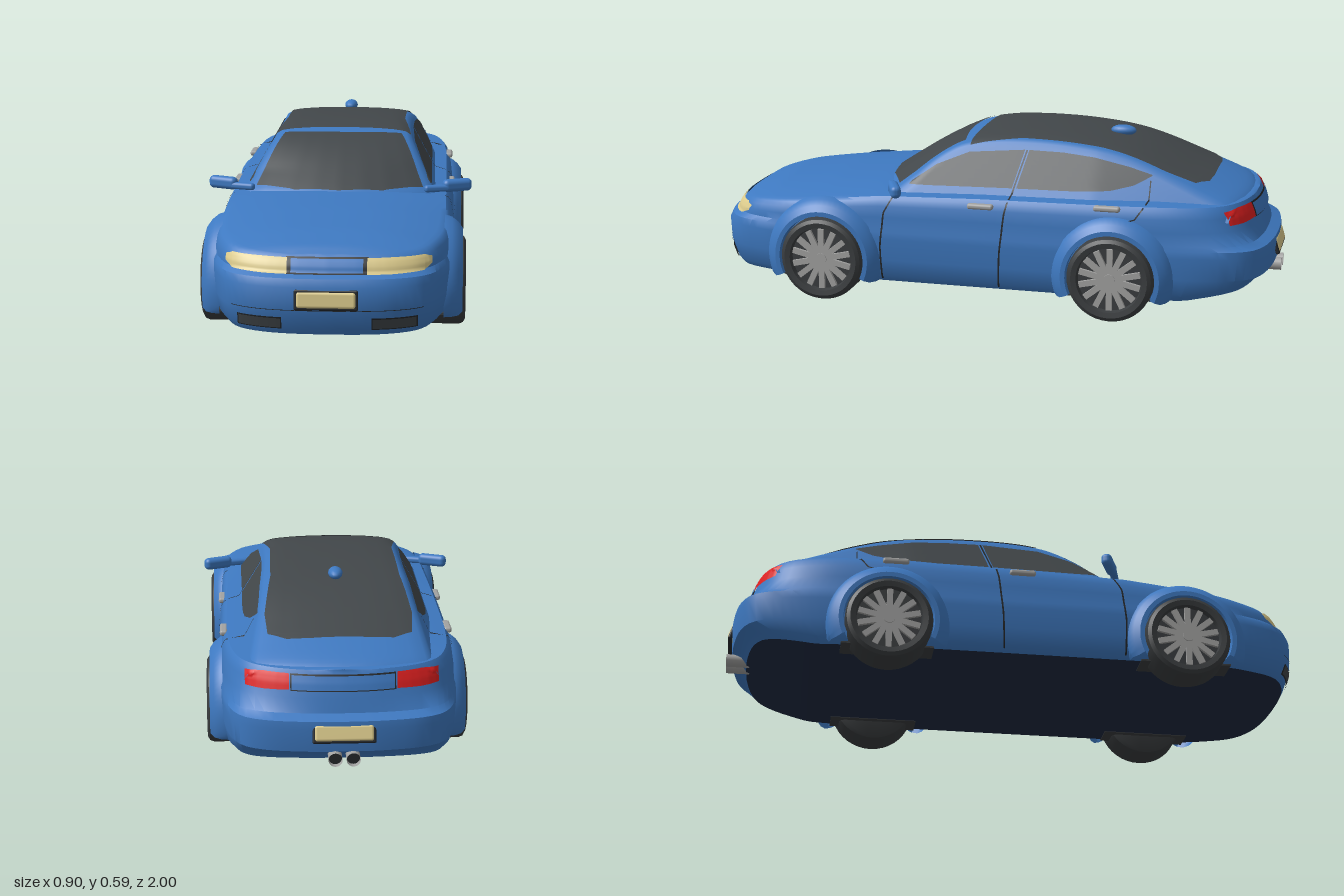
import * as THREE from 'three';
import { toCreasedNormals } from 'three/addons/utils/BufferGeometryUtils.js';
import { RoundedBoxGeometry } from 'three/addons/geometries/RoundedBoxGeometry.js';

const mat = (name, color) =>
  Object.assign(new THREE.MeshStandardMaterial({ color, side: THREE.DoubleSide }), { name });

const lerp = THREE.MathUtils.lerp;
const clamp = THREE.MathUtils.clamp;

// linear interpolation in a table of [z, value], z falling
function key(table, z) {
  if (z >= table[0][0]) return table[0][1];
  for (let i = 1; i < table.length; i++) {
    const [z0, v0] = table[i - 1], [z1, v1] = table[i];
    if (z >= z1) return lerp(v0, v1, (z - z0) / (z1 - z0));
  }
  return table[table.length - 1][1];
}

// surface through a grid of points f(i, j)
function grid(nu, nv, f) {
  const pos = [], idx = [];
  for (let j = 0; j <= nv; j++) for (let i = 0; i <= nu; i++) pos.push(...f(i, j));
  for (let j = 0; j < nv; j++) for (let i = 0; i < nu; i++) {
    const a = j * (nu + 1) + i, c = a + nu + 1;
    idx.push(a, a + 1, c, a + 1, c + 1, c);
  }
  const g = new THREE.BufferGeometry();
  g.setAttribute('position', new THREE.Float32BufferAttribute(pos, 3));
  g.setIndex(idx);
  return g;
}

// floor (first band) or body: plan outline stacked through levels, then closed over hood and deck
function bodyGeometry(floor) {
  const plan = new THREE.SplineCurve([[0, .97], [.12, .965], [.22, .945], [.30, .90], [.345, .82], [.382, .66],
    [.387, .3], [.387, -.3], [.382, -.55], [.365, -.75], [.325, -.88], [.25, -.935], [.12, -.96], [0, -.965]]
    .map(p => new THREE.Vector2(...p)));
  const N = 80, half = plan.getSpacedPoints(N);
  const belt = [[.915, .312], [.8, .325], [.6, .345], [.35, .372], [0, .383], [-.6, .39], [-.92, .392]];
  const crest = [[.915, .312], [.88, .335], [.78, .363], [.57, .387], [.38, .4], [0, .405], [-.6, .41], [-.92, .395]];
  // y, width scale, front z, rear z
  const levels = [[.069, 0, .955, .93], [.069, .93, .955, .93], [.09, .975, .965, .95], [.15, 1, .985, .98],
    [.225, 1.01, .988, .988], [.25, 1.01, .975, .985], [.265, 1, .945, .95]];
  const upper = [[.35, 1, .94, .94], [.7, .985, .93, .928], [.9, .965, .92, .918], [1, .94, .915, .912]];
  const deck = [.95, .88, .78, .65, .5, .33, .16, 0];
  const first = floor ? 0 : 1;
  const rows = floor ? 2 : levels.length + upper.length + deck.length - 1;
  return toCreasedNormals(grid(2 * N, rows - 1, (i, row) => {
    let j = row + first;
    const p = half[i <= N ? i : 2 * N - i];
    const x = i <= N ? p.x : -p.x;
    const shift = L => p.y > 0 ? p.y * L[2] / .97 : p.y * L[3] / .965;
    if (j < levels.length) {
      const L = levels[j], z = shift(L);
      return [x * L[1], L[0] + (j < 3 ? Math.max(0, -z - .7) * .18 : 0), z];
    }
    j -= levels.length;
    const U = upper[Math.min(j, upper.length - 1)];
    const z = shift(U) + .35 * x * x * clamp((-p.y - .6) / .3, 0, 1), b = key(belt, z);
    if (j < upper.length) return [x * U[1], lerp(.265, b, U[0]), z];
    const s = deck[j - upper.length];
    return [x * U[1] * s, b + (key(crest, z) - b) * (1 - s ** 2.5), z];
  }), .55);
}

// cabin: sections with leaning sides under the roof line, bowed at both screens
function cabinGeometry() {
  const roof = new THREE.SplineCurve([[.40, .38], [.38, .4], [.25, .483], [.15, .535], [.07, .56], [-.08, .576],
    [-.29, .571], [-.5, .541], [-.72, .468], [-.87, .41], [-.91, .38]].map(p => new THREE.Vector2(...p)));
  const S = roof.getSpacedPoints(70);
  const crown = [[1, 0], [.965, .014], [.9, .023], [.75, .029], [.5, .033], [.25, .0345], [0, .035]];
  return toCreasedNormals(grid(70, 20, (i, j) => {
    const z = S[i].x, h = S[i].y, he = h - .035;
    const k = j <= 10 ? j : 20 - j;
    const taper = 1 - .12 * clamp((-z - .4) / .5, 0, 1);
    const xs = y => (.322 - (y - .39) * .57) * taper;
    let x, y;
    if (k < 4) { y = lerp(.34, he, k / 4); x = xs(y); }
    else { const [a, b] = crown[k - 4]; x = xs(he) * a; y = he + b; }
    const bow = .8 * clamp(z / .3, 0, 1) - .7 * clamp((-z - .3) / .5, 0, 1);
    return [j <= 10 ? x : -x, y, z - bow * x * x];
  }), .7);
}

export function createModel() {
  const blue = mat('blue paint', 0x3e79c1), glass = mat('dark glass', 0x42474a), rubber = mat('tyre rubber', 0x3a3d3f),
    trim = mat('black trim', 0x25282b), lamp = mat('pale yellow', 0xdccb8c), red = mat('red lamp', 0xe02020),
    silver = mat('silver', 0xa2a2a1), under = mat('dark underside', 0x1f2b42);
  const car = new THREE.Group();
  car.name = 'car';
  const add = (name, geo, m, parent = car) => {
    const mesh = new THREE.Mesh(geo, m);
    mesh.name = name;
    parent.add(mesh);
    return mesh;
  };
  const shell = [add('body', bodyGeometry(false), blue), add('cabin', cabinGeometry(), blue)];
  add('floor', bodyGeometry(true), under);

  // thin skins laid on the shell along one direction
  const ray = new THREE.Raycaster();
  const aims = {
    front: (a, b) => [[a, b, 2], [0, 0, -1]], back: (a, b) => [[a, b, -2], [0, 0, 1]], top: (a, b) => [[a, 2, b], [0, -1, 0]],
    left: (a, b) => [[2, b, a], [-1, 0, 0]], right: (a, b) => [[-2, b, a], [1, 0, 0]],
  };
  let last = new THREE.Vector3();
  const project = (aim, a, b, lift) => {
    const [o, d] = aims[aim](a, b).map(v => new THREE.Vector3(...v));
    ray.set(o, d);
    const hit = ray.intersectObjects(shell, false)[0];
    if (hit) last = hit.point.clone().addScaledVector(d, -lift);
    return last;
  };
  const along = (pts, u) => {
    const t = u * (pts.length - 1), i = Math.min(Math.floor(t), pts.length - 2);
    return [0, 1].map(c => lerp(pts[i][c], pts[i + 1][c], t - i));
  };
  const panel = (name, aim, low, high, m, lift = .005, nu = 24, nv = 8) => {
    const g = grid(nu, nv, (i, j) => {
      const p = along(low, i / nu), q = along(high, i / nu);
      return project(aim, lerp(p[0], q[0], j / nv), lerp(p[1], q[1], j / nv), lift).toArray();
    });
    g.computeVertexNormals();
    return add(name, g, m);
  };
  const rect = (name, aim, x0, x1, y0, y1, m, lift) => panel(name, aim, [[x0, y0], [x1, y0]], [[x0, y1], [x1, y1]], m, lift);
  const seam = (name, aim, pts, dx, dy) =>
    panel(name, aim, pts.map(p => [p[0] - dx, p[1] - dy]), pts.map(p => [p[0] + dx, p[1] + dy]), trim, .004, 28, 1);

  // windscreen and the long roof glass
  panel('windscreen', 'top', [[-.285, .302], [-.15, .362], [0, .38], [.15, .362], [.285, .302]],
    [[-.205, .085], [-.1, .1], [0, .105], [.1, .1], [.205, .085]], glass, .004, 32, 16);
  panel('roofGlass', 'top', [[-.238, .06], [-.212, -.12], [-.215, -.4], [-.238, -.62], [-.23, -.72], [-.17, -.76], [-.1, -.768]],
    [[.238, .06], [.212, -.12], [.215, -.4], [.238, -.62], [.23, -.72], [.17, -.76], [.1, -.768]], glass, .004, 48, 24);

  // both sides: windows, seams, handles, mirrors
  for (const [side, s] of [['left', 1], ['right', -1]]) {
    panel('frontWindow', side, [[.262, .408], [.19, .408], [.05, .411], [-.105, .414]],
      [[.25, .42], [.17, .475], [.06, .519], [-.135, .535]], glass, .003);
    panel('rearWindow', side, [[-.12, .414], [-.3, .416], [-.44, .423], [-.52, .443], [-.578, .474]],
      [[-.15, .535], [-.27, .533], [-.38, .523], [-.5, .499], [-.578, .478]], glass, .003);
    seam('frontDoorSeam', side, [[.34, .08], [.343, .2], [.33, .32], [.3, .375]], .003, 0);
    seam('middleDoorSeam', side, [[-.075, .08], [-.08, .2], [-.095, .34], [-.113, .42], [-.143, .535]], .003, 0);
    seam('rearDoorSeam', side, [[-.575, .46], [-.575, .40], [-.54, .35], [-.48, .33], [-.4, .32]], .002, .0015);
    for (const [z, y] of [[-.012, .362], [-.445, .38]]) {
      const h = add('doorHandle', new RoundedBoxGeometry(.026, .019, .09, 2, .008), silver);
      h.position.copy(project(side, z, y, .004));
    }
    const mirror = new THREE.Group();
    mirror.name = 'mirror';
    const head = add('mirrorHead', new RoundedBoxGeometry(.105, .043, .036, 4, .016), blue, mirror);
    head.position.set(.4, .408, .285);
    head.rotation.y = .42;
    const arm = add('mirrorArm', new RoundedBoxGeometry(.09, .024, .026, 2, .01), blue, mirror);
    arm.position.set(.332, .402, .316);
    arm.rotation.y = .3;
    if (s < 0) mirror.scale.x = -1;
    car.add(mirror);

    // headlamp, fog opening and tail lamp
    const flip = pts => pts.map(([a, b]) => [a * s, b]);
    panel('headlampEdge', 'front', [[.115 * s, .26], [.128 * s, .26]], [[.115 * s, .308], [.128 * s, .308]], trim, .004, 4);
    panel('headlamp', 'front', flip([[.124, .261], [.2, .261], [.3, .263], [.324, .278]]),
      flip([[.124, .306], [.2, .307], [.3, .307], [.324, .297]]), lamp, .008);
    rect('fogOpening', 'front', .139 * s, .281 * s, .088, .128, trim, .005);
    rect('fogGrille', 'front', .143 * s, .277 * s, .092, .124, glass, .007);
    panel('tailLamp', 'back', flip([[.168, .334], [.25, .33], [.304, .33]]),
      flip([[.168, .382], [.25, .382], [.304, .374]]), red, .007);
  }

  // nose and tail panels, bumper line, number plates
  rect('grilleFrame', 'front', -.115, .115, .26, .308, trim, .004);
  rect('grille', 'front', -.112, .112, .264, .304, blue, .008);
  rect('tailPanelFrame', 'back', -.164, .164, .33, .381, trim, .004);
  rect('tailPanel', 'back', -.16, .16, .334, .377, blue, .007);
  seam('bumperSeam', 'front', [[-.3, .153], [0, .153], [.3, .153]], 0, .001);
  for (const [y, z, tilt] of [[.187, .985, -.12], [.213, -.983, .3]]) {
    const plate = new THREE.Group();
    plate.name = 'numberPlate';
    plate.position.set(0, y, z);
    plate.rotation.x = tilt;
    add('plateFrame', new RoundedBoxGeometry(.198, .065, .014, 2, .006), trim, plate);
    add('plate', new RoundedBoxGeometry(.186, .053, .022, 3, .01), lamp, plate);
    car.add(plate);
  }

  // twin exhaust
  for (const x of [-.028, .028]) {
    const pipe = add('exhaustPipe', new THREE.CylinderGeometry(.022, .022, .14, 20, 1, true).rotateX(Math.PI / 2), silver);
    pipe.position.set(x, .13, -.93);
    add('exhaustBore', new THREE.CircleGeometry(.021, 20), trim).position.set(x, .13, -.98);
  }

  // roof aerial
  const fin = add('aerial', new THREE.SphereGeometry(1, 16, 12), blue);
  fin.scale.set(.024, .019, .045);
  fin.position.set(0, .568, -.432);

  // wheels and flared arches
  const V = pts => pts.map(p => new THREE.Vector2(...p));
  const flare = new THREE.LatheGeometry(V([[.212, .36], [.205, .385], [.188, .406], [.168, .42], [.152, .42], [.149, .37]]),
    40, Math.PI - .42, Math.PI + .84).rotateZ(-Math.PI / 2);
  const fp = flare.attributes.position;
  for (let i = 0; i < fp.count; i++) fp.setY(i, Math.max(fp.getY(i), -.077));
  const archGeo = toCreasedNormals(flare, .5);
  const tyreGeo = toCreasedNormals(new THREE.LatheGeometry(V([[0, -.06], [.13, -.065], [.142, -.058], [.147, -.045],
    [.147, .045], [.142, .058], [.13, .065], [.112, .062], [.108, .04]]), 40).rotateZ(-Math.PI / 2), .6);
  for (const z of [.55, -.465]) for (const s of [1, -1]) {
    const wheel = new THREE.Group();
    wheel.name = 'wheel';
    wheel.position.set(0, .147, z);
    if (s < 0) wheel.rotation.y = Math.PI;
    add('wheelArch', archGeo, blue, wheel);
    add('tyre', tyreGeo, rubber, wheel).position.x = .365;
    const disc = add('rimDisc', new THREE.CylinderGeometry(.11, .11, .09, 32).rotateZ(Math.PI / 2), rubber, wheel);
    disc.position.x = .362;
    add('hub', new THREE.CylinderGeometry(.02, .02, .02, 20).rotateZ(Math.PI / 2), silver, wheel).position.x = .412;
    for (let k = 0; k < 14; k++) {
      const spoke = add('spoke', new THREE.BoxGeometry(.012, .092, .02).translate(.412, .06, 0), silver, wheel);
      spoke.rotation.x = k * Math.PI / 7;
    }
    add('wheelWell', new THREE.BoxGeometry(.09, .006, .31), rubber, wheel).position.set(.325, -.077, 0);
    car.add(wheel);
  }
  return car;
}
